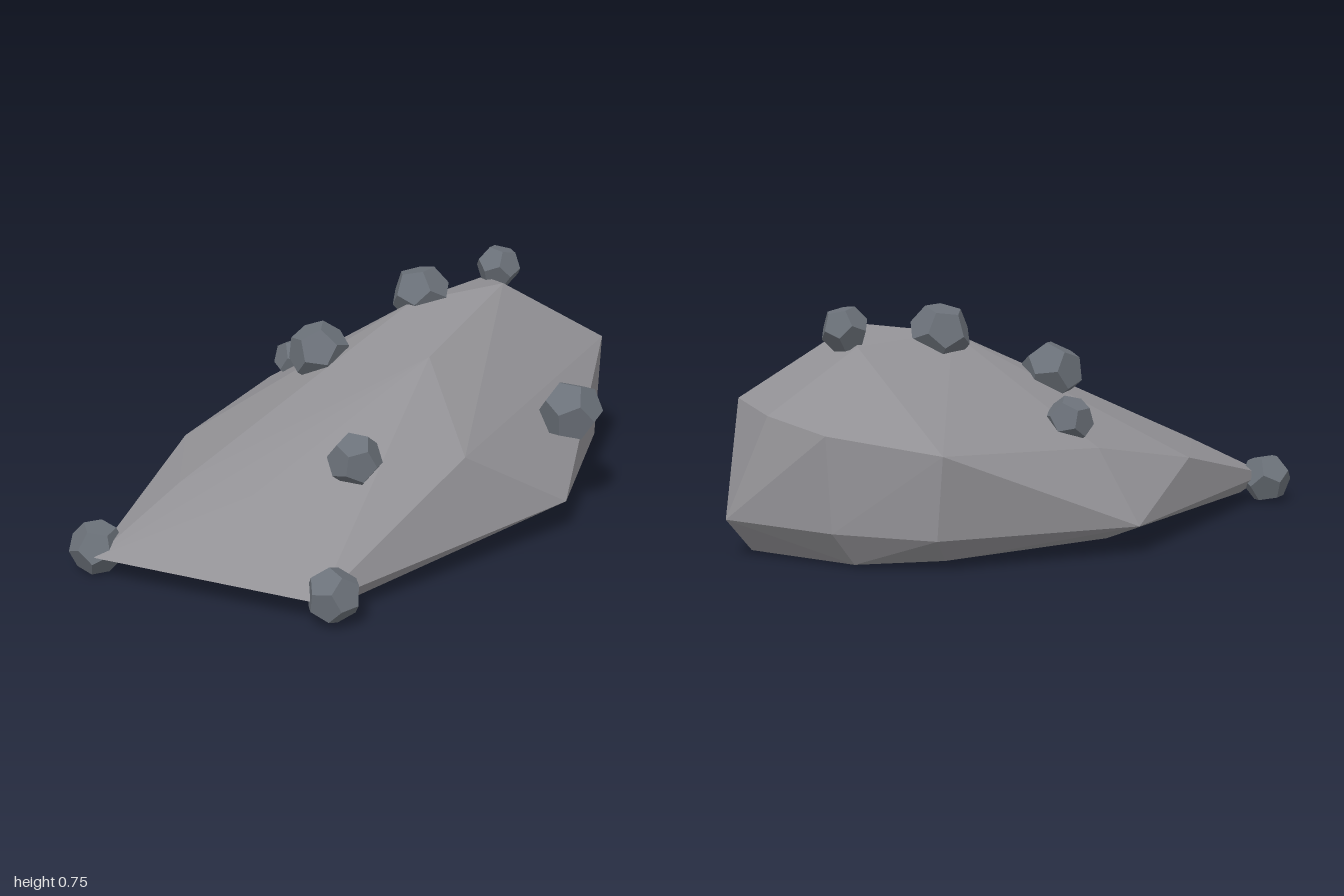
import * as THREE from 'three';
import { ConvexGeometry } from 'three/addons/geometries/ConvexGeometry.js';

export function createModel() {
  const group = new THREE.Group();
  const rockGrey = new THREE.MeshStandardMaterial({ color: 0x929195 });
  rockGrey.name = 'rock grey';
  const pebbleGrey = new THREE.MeshStandardMaterial({ color: 0x6b7179 });
  pebbleGrey.name = 'pebble blue grey';

  // Corner rings of the boulder, from the ground upwards
  const base = [
    [0.9, 0.015, 0.18], [0.57, 0.015, 0.4], [0.2, 0.02, 0.48], [-0.67, 0.03, 0.44],
    [-0.88, 0.03, -0.25], [0.0, 0.025, -0.47], [0.58, 0.02, -0.36], [0.8, 0.015, -0.2],
  ];
  const rim = [
    [1, 0.125, 0.175], [0.74, 0.125, 0.4], [0.23, 0.12, 0.645], [-0.78, 0.09, 0.47],
    [-0.99, 0.085, -0.27], [0.04, 0.095, -0.65], [0.68, 0.105, -0.44], [0.885, 0.12, -0.2],
  ];
  const shoulder = [
    [0.8, 0.46, 0.375], [0.9, 0.444, 0.09], [0.89, 0.412, -0.18], [0.67, 0.36, -0.455],
    [0.05, 0.32, -0.48], [-0.37, 0.24, -0.475], [-0.66, 0.24, -0.22], [-0.62, 0.265, 0.06],
    [-0.67, 0.13, 0.475], [-0.12, 0.35, 0.5],
  ];
  const crown = [[0.49, 0.69, 0.18], [0.01, 0.585, 0.25], [0.23, 0.655, 0], [0.62, 0.64, 0]];
  const corners = [base, rim, shoulder, crown].flat().map((p) => new THREE.Vector3(...p));
  const boulder = new THREE.Mesh(new ConvexGeometry(corners), rockGrey);
  boulder.name = 'boulder';
  group.add(boulder);

  // Pebbles: position, radius, direction that one pentagon faces, spin
  const pebbles = [
    [[-0.93, 0.085, -0.32], 0.088, [-0.7, 0.55, -0.4], 0.3],
    [[-0.725, 0.1, 0.48], 0.088, [-0.2, 0.35, 0.9], 0.2],
    [[-0.415, 0.385, 0.3], 0.087, [-0.35, 0.9, 0.25], 0.9],
    [[-0.05, 0.52, -0.165], 0.102, [-0.3, 0.9, -0.3], 0.5],
    [[0.085, 0.4, -0.385], 0.078, [0, 0.85, -0.4], 0.2],
    [[0.3, 0.66, -0.02], 0.1, [0, 1, -0.25], 1.0],
    [[0.62, 0.69, 0.062], 0.077, [0.2, 0.95, 0.1], 0.6],
    [[0.375, 0.365, 0.55], 0.105, [0.1, 0.5, 0.85], 0.4],
  ];
  const faceNormal = new THREE.Vector3(1, 0, (1 + Math.sqrt(5)) / 2).normalize();
  pebbles.forEach(([position, radius, facing, spin], i) => {
    const pebble = new THREE.Mesh(new THREE.DodecahedronGeometry(radius), pebbleGrey);
    const normal = new THREE.Vector3(...facing).normalize();
    pebble.quaternion.setFromUnitVectors(faceNormal, normal)
      .premultiply(new THREE.Quaternion().setFromAxisAngle(normal, spin));
    pebble.position.set(...position);
    pebble.name = `pebble ${i + 1}`;
    group.add(pebble);
  });
  return group;
}
